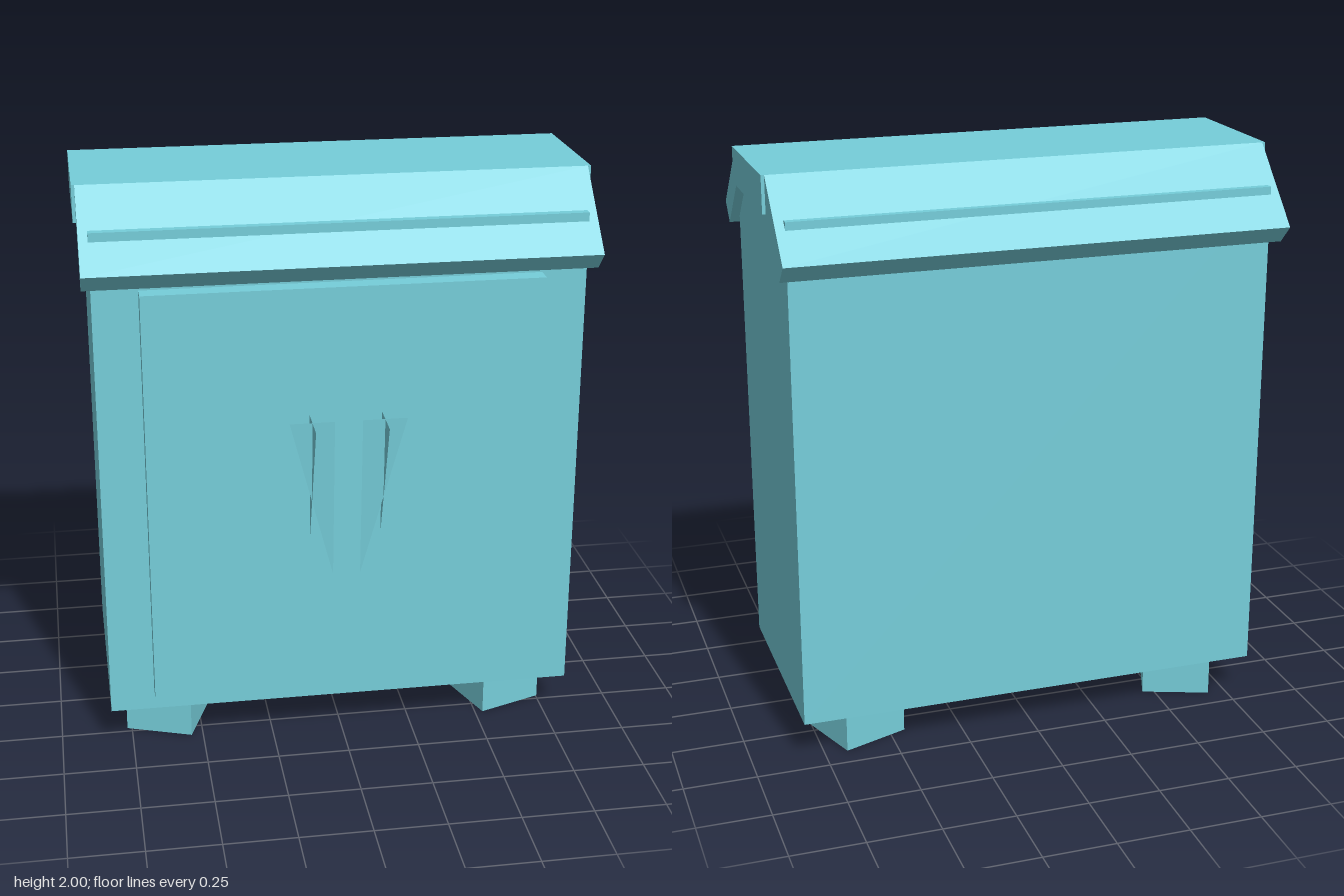
import * as THREE from 'three';

export function createModel() {
  const group = new THREE.Group();
  const teal = new THREE.MeshStandardMaterial({ color: 0x76ceda, side: THREE.DoubleSide });
  teal.name = 'teal';

  const add = (name, geometry) => {
    const mesh = new THREE.Mesh(geometry, teal);
    mesh.name = name;
    group.add(mesh);
    return mesh;
  };

  // Box given by its [min, max] range on each axis
  const box = (name, [x0, x1], [y0, y1], [z0, z1]) =>
    add(name, new THREE.BoxGeometry(x1 - x0, y1 - y0, z1 - z0))
      .position.set((x0 + x1) / 2, (y0 + y1) / 2, (z0 + z1) / 2);

  // Slab with a (z, y) profile running the width of the cabinet
  const slab = (name, profile, halfWidth) => {
    const shape = new THREE.Shape(profile.map(([z, y]) => new THREE.Vector2(z, y)));
    const geometry = new THREE.ExtrudeGeometry(shape, { depth: halfWidth * 2, bevelEnabled: false });
    add(name, geometry.translate(0, 0, -halfWidth).rotateY(-Math.PI / 2));
  };

  // Cabinet and door panel
  box('body', [-0.823, 0.823], [0.14, 1.88], [-0.45, 0.34]);
  box('door', [-0.67, 0.67], [0.215, 1.683], [0.34, 0.402]);

  // Roof: flat top with a sloping eave on each side
  slab('roofTop', [[0.19, 1.875], [0.19, 2], [-0.305, 2], [-0.305, 1.875]], 0.865);
  slab('frontEave', [[0.19, 2], [0.19, 1.875], [0.368, 1.698], [0.43, 1.76]], 0.854);
  slab('backEave', [[-0.305, 2], [-0.305, 1.875], [-0.48, 1.698], [-0.542, 1.76]], 0.854);

  // Square feet, turned outwards on each side
  for (const side of [-1, 1]) {
    for (const z of [0.157, -0.271]) {
      const foot = add('foot', new THREE.BoxGeometry(0.24, 0.14, 0.24));
      foot.position.set(side > 0 ? 0.6 : -0.613, 0.07, z);
      foot.rotation.y = side * THREE.MathUtils.degToRad(20);
    }
  }

  // Door handles: two crossed, slightly leaning triangular blades each
  const blade = (name, corners) => {
    const geometry = new THREE.BufferGeometry();
    geometry.setAttribute('position', new THREE.Float32BufferAttribute(corners.flat(), 3));
    geometry.computeVertexNormals();
    add(name, geometry);
  };
  for (const s of [-1, 1]) {
    const wide = [[s * 0.047, 1.24, 0.467], [s * 0.047, 0.665, 0.43], [s * 0.198, 1.24, 0.467]];
    blade('handleFrontBlade', s > 0 ? wide : wide.reverse());
    blade('handleSideBlade', [[s * 0.122, 1.235, 0.546], [s * 0.122, 0.665, 0.356], [s * 0.122, 1.243, 0.395]]);
  }
  return group;
}
